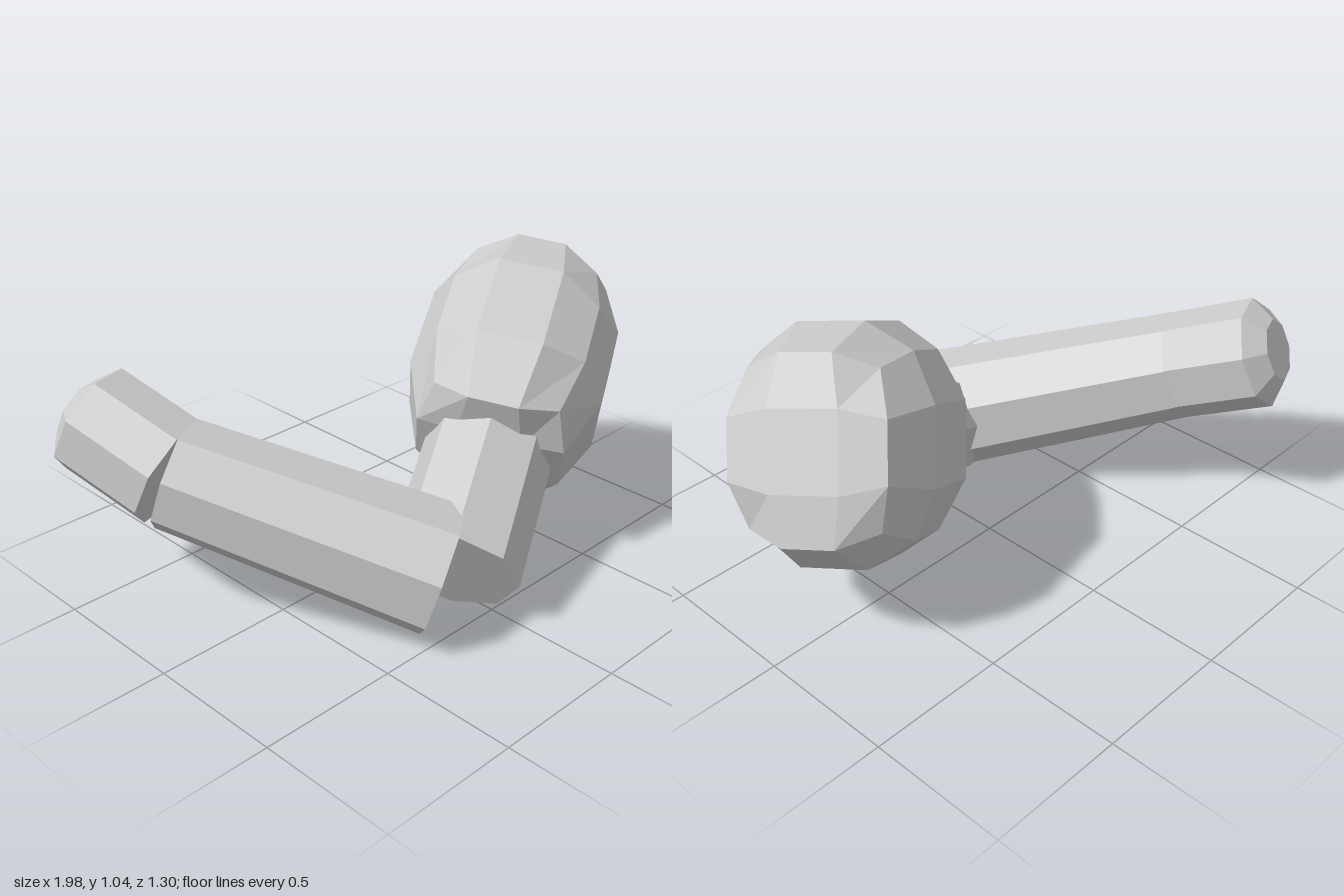
import * as THREE from 'three';

const material = new THREE.MeshStandardMaterial({ color: 0xcccccc, flatShading: true });
const vec = (a) => new THREE.Vector3(...a);

// Stands a geometry's y axis along `dir` at `origin`, with its z axis turned towards `ref`
function place(geometry, name, origin, dir, ref) {
  const y = vec(dir).normalize();
  const z = vec(ref).addScaledVector(y, -vec(ref).dot(y)).normalize();
  const x = new THREE.Vector3().crossVectors(y, z);
  geometry.applyMatrix4(new THREE.Matrix4().makeBasis(x, y, z).setPosition(...origin));
  geometry.computeVertexNormals();
  const mesh = new THREE.Mesh(geometry, material);
  mesh.name = name;
  return mesh;
}

// Closed eight-sided limb; `tip` optionally adds a bevelled end [radius, height]
function limb(name, from, to, r0, r1, ref, tip) {
  const dir = vec(to).sub(vec(from));
  const length = dir.length();
  const profile = [[0, 0], [r0, 0], [r1, length]];
  if (tip) profile.push([tip[0], length + tip[1]]);
  profile.push([0, length + (tip ? tip[1] : 0)]);
  const geometry = new THREE.LatheGeometry(profile.map((p) => new THREE.Vector2(...p)), 8);
  return place(geometry, name, from, dir.toArray(), ref);
}

// Rounded 3 x 3 x 3 box with softly flattened ends
function bulb() {
  const geometry = new THREE.BoxGeometry(2, 2, 2, 3, 3, 3);
  const pos = geometry.attributes.position;
  const p = new THREE.Vector3();
  for (let i = 0; i < pos.count; i++) {
    p.fromBufferAttribute(pos, i).normalize();
    const h = THREE.MathUtils.clamp(p.y * 0.54, -0.4, 0.4);
    pos.setXYZ(i, p.x * 0.375, h, p.z * 0.43);
  }
  return geometry;
}

export function createModel() {
  const model = new THREE.Group();
  model.name = 'bentLimb';

  // Short limb and the bulb on its end share one axis
  const axis = [0.787, 0.472, -0.393];
  const side = [0.35, -0.87, -0.345];
  const start = [-0.139, 0.205, 0.443];
  const along = (t) => start.map((v, i) => v + axis[i] * t);
  model.add(limb('shortLimb', start, along(0.58), 0.225, 0.225, side));
  model.add(place(bulb(), 'bulb', along(0.855), axis, side));

  // Long limb with a bent, bevelled end piece
  const up = [-0.21, 0.87, 0.44];
  const elbow = [-0.198, 0.235, 0.453];
  const wrist = [-0.713, 0.514, -0.273];
  model.add(limb('longLimb', elbow, wrist, 0.227, 0.195, up));
  model.add(limb('endPiece', wrist, [-0.81, 0.645, -0.56], 0.195, 0.195, up, [0.11, 0.06]));

  return model;
}
